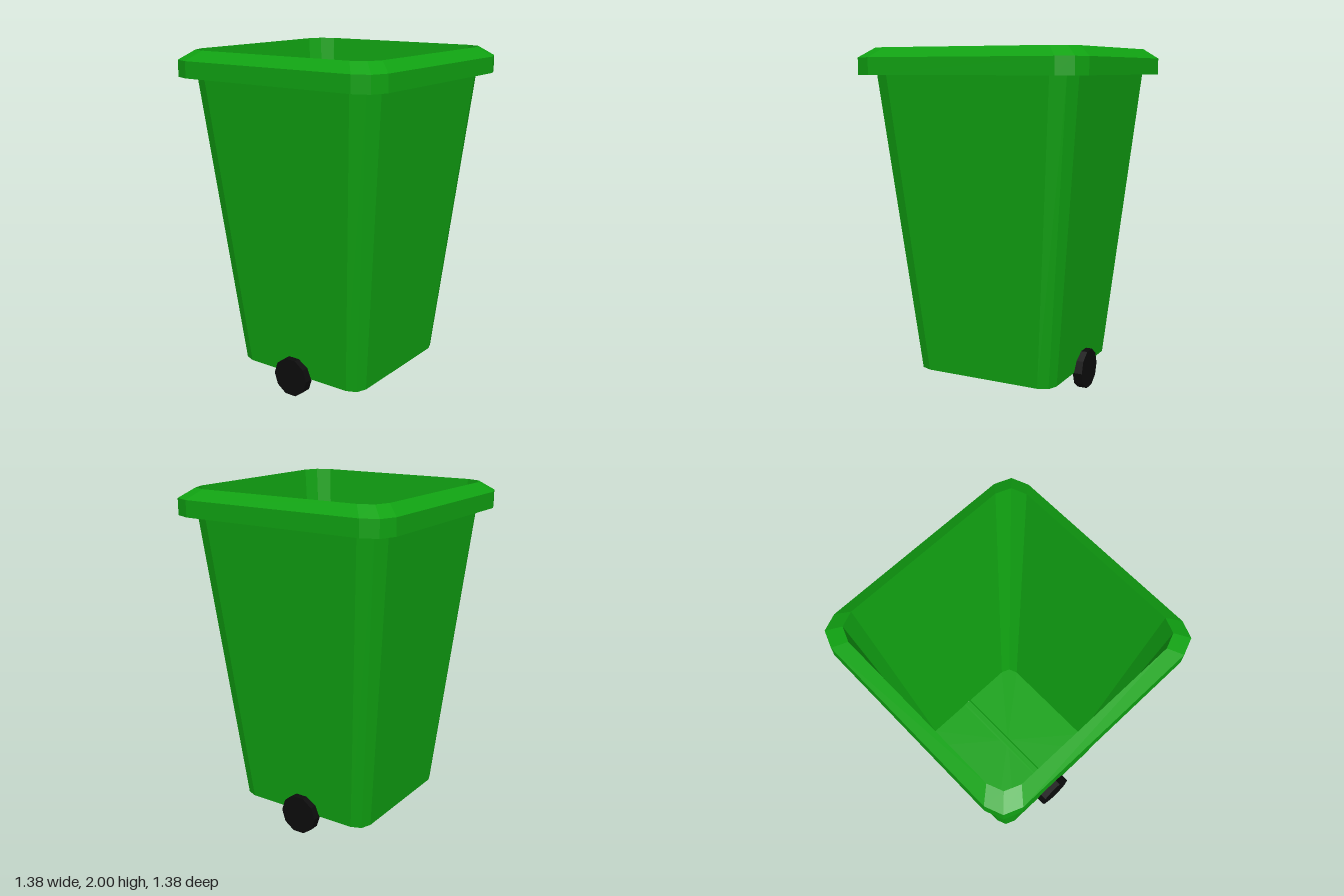
import * as THREE from 'three';

const paint = (color) => new THREE.MeshStandardMaterial({ color, flatShading: true });

// Square with two-facet corners, half width 1, as [x, z] points
const outline = [];
for (let k = 0; k < 4; k++) {
  const c = Math.round(Math.cos(k * Math.PI / 2)), s = Math.round(Math.sin(k * Math.PI / 2));
  for (const [x, z] of [[1, 0.81], [0.946, 0.946], [0.81, 1]]) outline.push([x * c - z * s, x * s + z * c]);
}

// Faceted skin through a list of [half width, height] sections
function loft(sections) {
  const pos = [];
  const point = ([h, y], i) => {
    const [x, z] = outline[i % outline.length];
    return [x * h, y, z * h];
  };
  for (let j = 0; j < sections.length - 1; j++) {
    const low = sections[j], high = sections[j + 1];
    for (let i = 0; i < outline.length; i++) {
      const a = point(low, i), b = point(low, i + 1), c = point(high, i), d = point(high, i + 1);
      if (low[0] > 0) pos.push(...a, ...c, ...b);
      if (high[0] > 0) pos.push(...b, ...c, ...d);
    }
  }
  const geo = new THREE.BufferGeometry();
  geo.setAttribute('position', new THREE.Float32BufferAttribute(pos, 3));
  geo.computeVertexNormals();
  return geo;
}

export function createModel() {
  const group = new THREE.Group();
  const green = paint(0x10a212), grey = paint(0xcccccc), black = paint(0x0c0c0c);
  const add = (name, geo, mat, x = 0, y = 0, z = 0) => {
    const mesh = new THREE.Mesh(geo, mat);
    mesh.name = name;
    mesh.position.set(x, y, z);
    group.add(mesh);
    return mesh;
  };

  const bottom = 0.115, floor = 0.16, rimLow = 1.85;

  // Tapered bin: outer wall, rim with sloped top, inner wall down to the floor
  add('outerWall', loft([[0.436, bottom], [0.611, rimLow]]), green);
  add('rim', loft([[0.69, rimLow], [0.69, 1.945], [0.615, 2]]), green);
  add('innerWall', loft([[0.615, 2], [0.395, floor], [0, floor]]), green);
  add('rimUnderside', loft([[0.611, rimLow], [0.69, rimLow]]), grey);
  add('underside', loft([[0, bottom], [0.436, bottom]]), grey);

  // Axle running front to back, with its ridge showing through the floor
  const axleX = -0.015, axleY = 0.114;
  const rod = (r, length) => new THREE.CylinderGeometry(r, r, length, 10).rotateY(Math.PI / 2).rotateX(Math.PI / 2);
  add('axle', rod(0.054, 0.88), grey, axleX, axleY);
  const ridge = new THREE.CylinderGeometry(0.0555, 0.0555, 0.79, 5, 1, true, Math.PI / 2, Math.PI).rotateX(Math.PI / 2);
  add('floorRidge', ridge, green, axleX, axleY);

  // Ten-sided wheels
  for (const [name, side] of [['frontWheel', 1], ['backWheel', -1]]) {
    add(name, rod(0.118, 0.057), black, axleX, axleY, side * 0.457);
  }
  return group;
}
